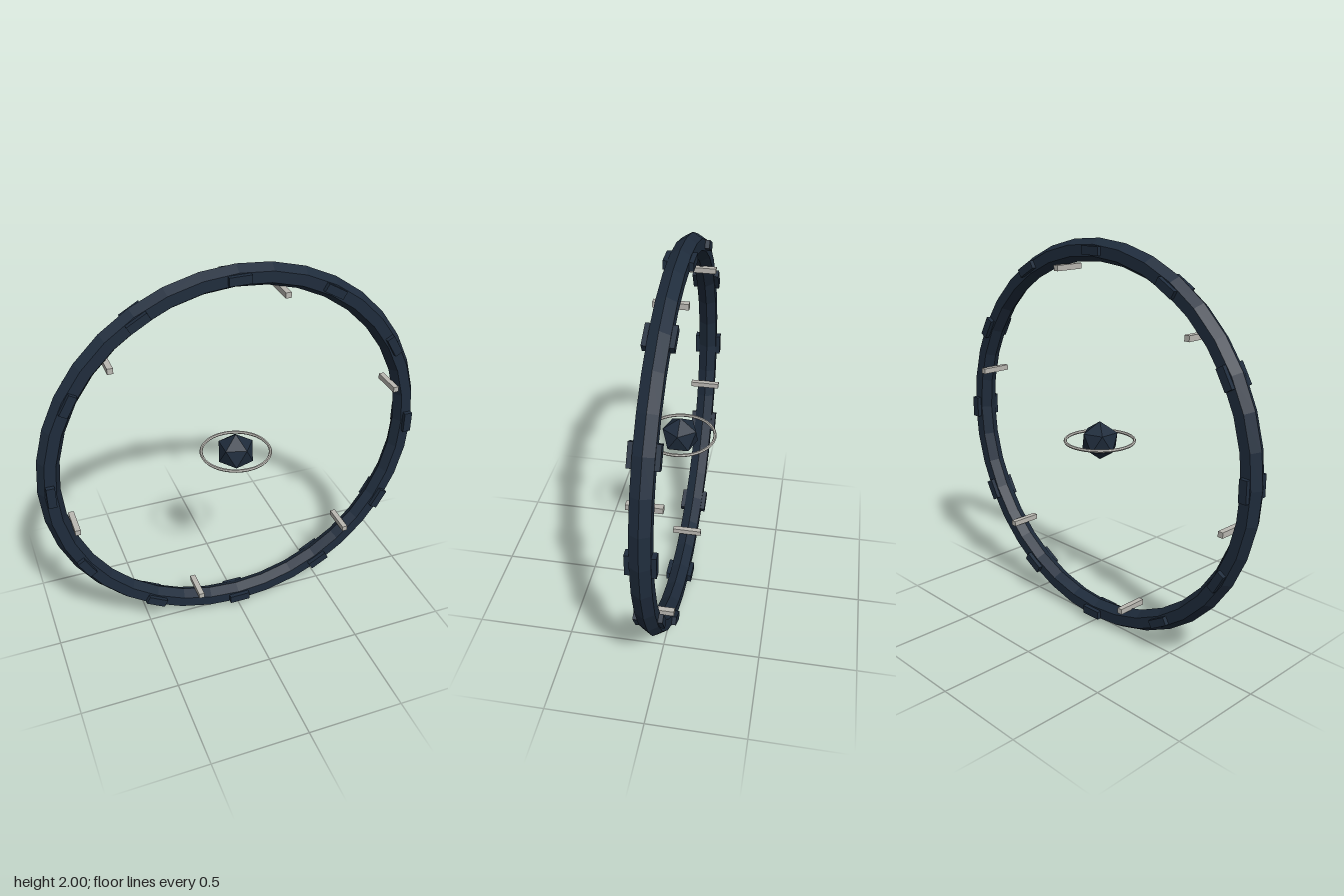
import * as THREE from 'three';

const navy = new THREE.MeshStandardMaterial({ color: 0x1f2c3c, flatShading: true });
navy.name = 'darkNavy';
const silver = new THREE.MeshStandardMaterial({ color: 0xbab8b2, flatShading: true });
silver.name = 'paleMetal';

const RING = 0.945; // centre line of the large ring

function add(parent, name, geometry, material) {
  const mesh = new THREE.Mesh(geometry, material);
  mesh.name = name;
  parent.add(mesh);
  return mesh;
}

export function createModel() {
  const model = new THREE.Group();
  model.name = 'ringGate';
  const body = new THREE.Group();
  body.name = 'gateBody';
  body.position.y = 1;
  model.add(body);

  // Large upright ring with a hexagonal section
  add(body, 'outerRing', new THREE.TorusGeometry(RING, 0.055, 6, 36), navy);

  // Twelve clamp blocks running through the ring
  const clamp = new THREE.BoxGeometry(0.042, 0.11, 0.14);
  for (let i = 0; i < 12; i++) {
    const a = (i * Math.PI) / 6;
    const block = add(body, 'clampBlock', clamp, navy);
    block.position.set(RING * Math.cos(a), RING * Math.sin(a), 0);
    block.rotation.z = a;
  }

  // Six pale crossbars along the inner rim
  const bar = new THREE.BoxGeometry(0.028, 0.028, 0.16);
  for (let i = 0; i < 6; i++) {
    const a = Math.PI / 12 + (i * Math.PI) / 3;
    const rod = add(body, 'rimBar', bar, silver);
    rod.position.set(0.875 * Math.cos(a), 0.875 * Math.sin(a), 0);
  }

  // Faceted core standing on one corner
  const core = new THREE.IcosahedronGeometry(0.1, 0);
  core.rotateX(-Math.atan((1 + Math.sqrt(5)) / 2));
  core.rotateY(Math.PI / 2);
  add(body, 'core', core, navy);

  // Thin level ring around the core
  const halo = new THREE.TorusGeometry(0.175, 0.008, 6, 36);
  halo.rotateX(Math.PI / 2);
  add(body, 'coreRing', halo, silver);

  return model;
}
